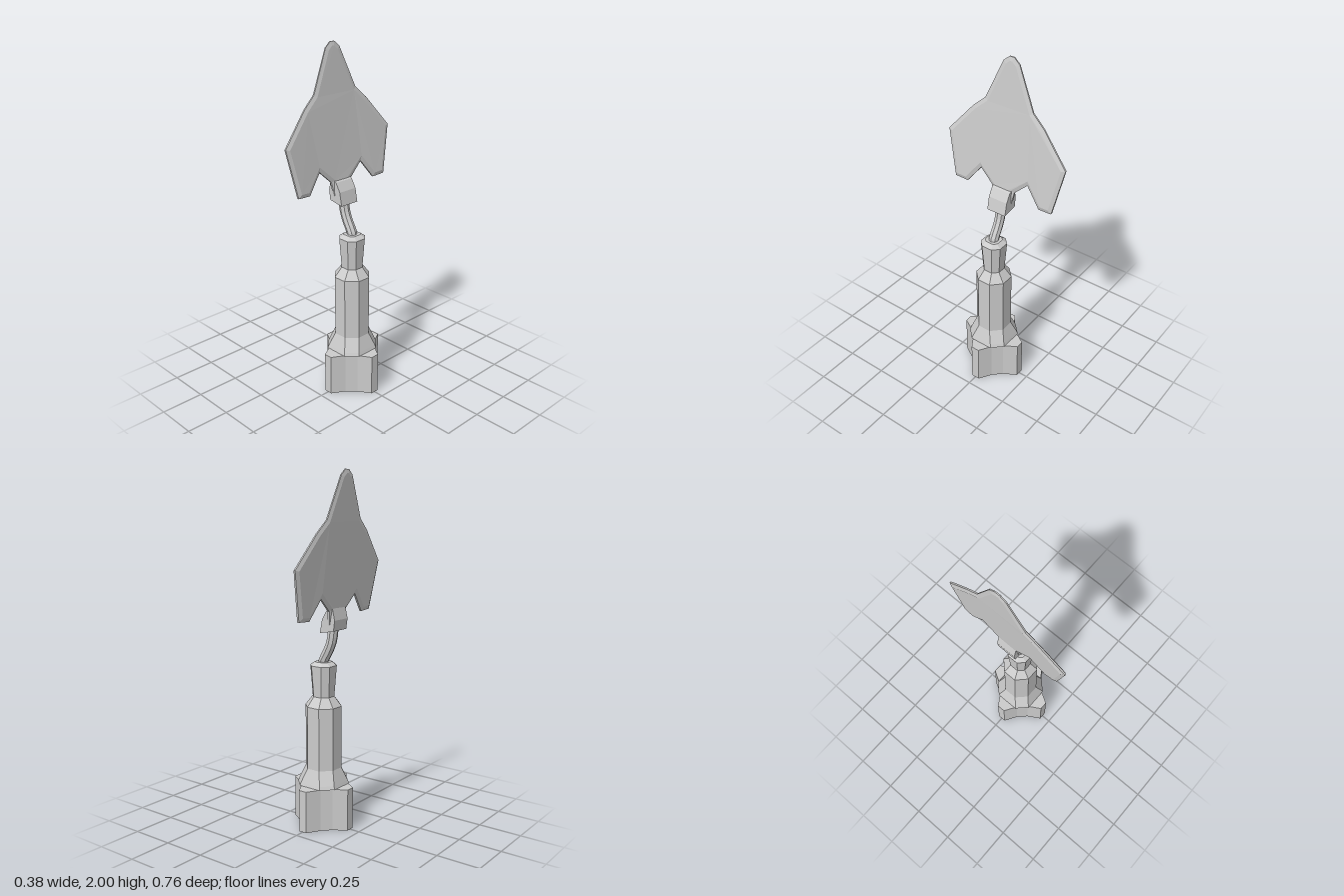
import * as THREE from 'three';

const material = new THREE.MeshStandardMaterial({ color: 0xcccccc, flatShading: true });

function add(group, name, geometry) {
  const mesh = new THREE.Mesh(geometry, material);
  mesh.name = name;
  group.add(mesh);
}

function polygon(points) {
  return new THREE.Shape(points.map(([x, y]) => new THREE.Vector2(x, y)));
}

// Stack of octagons; each section is [y, half width across flats, half length of a flat]
function octagonLoft(sections) {
  const pos = [], index = [];
  for (const [y, a, b] of sections) {
    for (const [x, z] of [[a, -b], [a, b], [b, a], [-b, a], [-a, b], [-a, -b], [-b, -a], [b, -a]]) pos.push(x, y, z);
  }
  const last = (sections.length - 1) * 8;
  for (let s = 0; s < last; s += 8) {
    for (let i = 0; i < 8; i++) {
      const j = (i + 1) % 8;
      index.push(s + i, s + 8 + i, s + j, s + j, s + 8 + i, s + 8 + j);
    }
  }
  for (let i = 1; i < 7; i++) {
    index.push(0, i, i + 1, last, last + i + 1, last + i);
  }
  const g = new THREE.BufferGeometry();
  g.setAttribute('position', new THREE.Float32BufferAttribute(pos, 3));
  g.setIndex(index);
  g.computeVertexNormals();
  return g;
}

export function createModel() {
  const model = new THREE.Group();

  // Four-lobed pommel
  const lobes = [];
  for (let i = 0; i < 4; i++) {
    const c = Math.round(Math.cos(i * Math.PI / 2)), s = Math.round(Math.sin(i * Math.PI / 2));
    for (const [r, t] of [[0.12, -0.07], [0.195, -0.025], [0.195, 0.025], [0.12, 0.07]]) {
      lobes.push([(r * c - t * s) * 0.97, r * s + t * c]);
    }
  }
  const base = new THREE.ExtrudeGeometry(polygon(lobes), { depth: 0.243, bevelEnabled: false });
  base.rotateX(-Math.PI / 2);
  add(model, 'pommel', base);

  // Octagonal grip with a flared foot and a narrower neck
  add(model, 'grip', octagonLoft([
    [0.243, 0.13, 0.07], [0.262, 0.124, 0.066], [0.34, 0.097, 0.04],
    [0.7, 0.097, 0.04], [0.755, 0.056, 0.026],
  ]));
  add(model, 'neck', octagonLoft([
    [0.75, 0.056, 0.026], [0.932, 0.068, 0.033], [0.952, 0.042, 0.024],
  ]));

  // Bent stem
  const path = new THREE.CatmullRomCurve3([
    [0.005, 0.93], [-0.004, 0.965], [-0.03, 1.01], [-0.053, 1.06], [-0.064, 1.11], [-0.068, 1.16],
  ].map(([x, y]) => new THREE.Vector3(x, y, 0)));
  add(model, 'stem', new THREE.TubeGeometry(path, 8, 0.029, 8));

  // Socket joining stem and blade
  const socket = new THREE.ExtrudeGeometry(polygon([
    [-0.112, 1.14], [-0.02, 1.123], [-0.035, 1.2], [-0.064, 1.25], [-0.104, 1.27], [-0.12, 1.2],
  ]), { depth: 0.12, bevelEnabled: false });
  socket.translate(0, 0, -0.06);
  add(model, 'socket', socket);

  // Winged blade: bevelled plate, mirrored outline in [z, y]
  const half = [
    [0.015, 2.0], [0.05, 1.97], [0.152, 1.74], [0.225, 1.675], [0.38, 1.495],
    [0.322, 1.22], [0.24, 1.215], [0.155, 1.325], [0.075, 1.25], [0.06, 1.17],
  ];
  const outline = [...half, ...half.map(([z, y]) => [-z, y]).reverse()];
  const blade = new THREE.ExtrudeGeometry(polygon(outline), {
    depth: 0.01, bevelThickness: 0.008, bevelSize: 0.022, bevelOffset: -0.022, bevelSegments: 1,
  });
  blade.translate(0, 0, -0.005);
  blade.rotateY(-Math.PI / 2);
  // Lean the plate back, thin it to the tip and sweep the wings slightly
  const p = blade.attributes.position;
  for (let i = 0; i < p.count; i++) {
    const t = p.getY(i) - 1.25, z = p.getZ(i);
    p.setX(i, p.getX(i) * (1.15 - 0.65 * t) - 0.09 - 0.11 * t + 0.035 * t * t + 0.08 * z * z);
  }
  blade.computeVertexNormals();
  add(model, 'blade', blade);

  return model;
}
